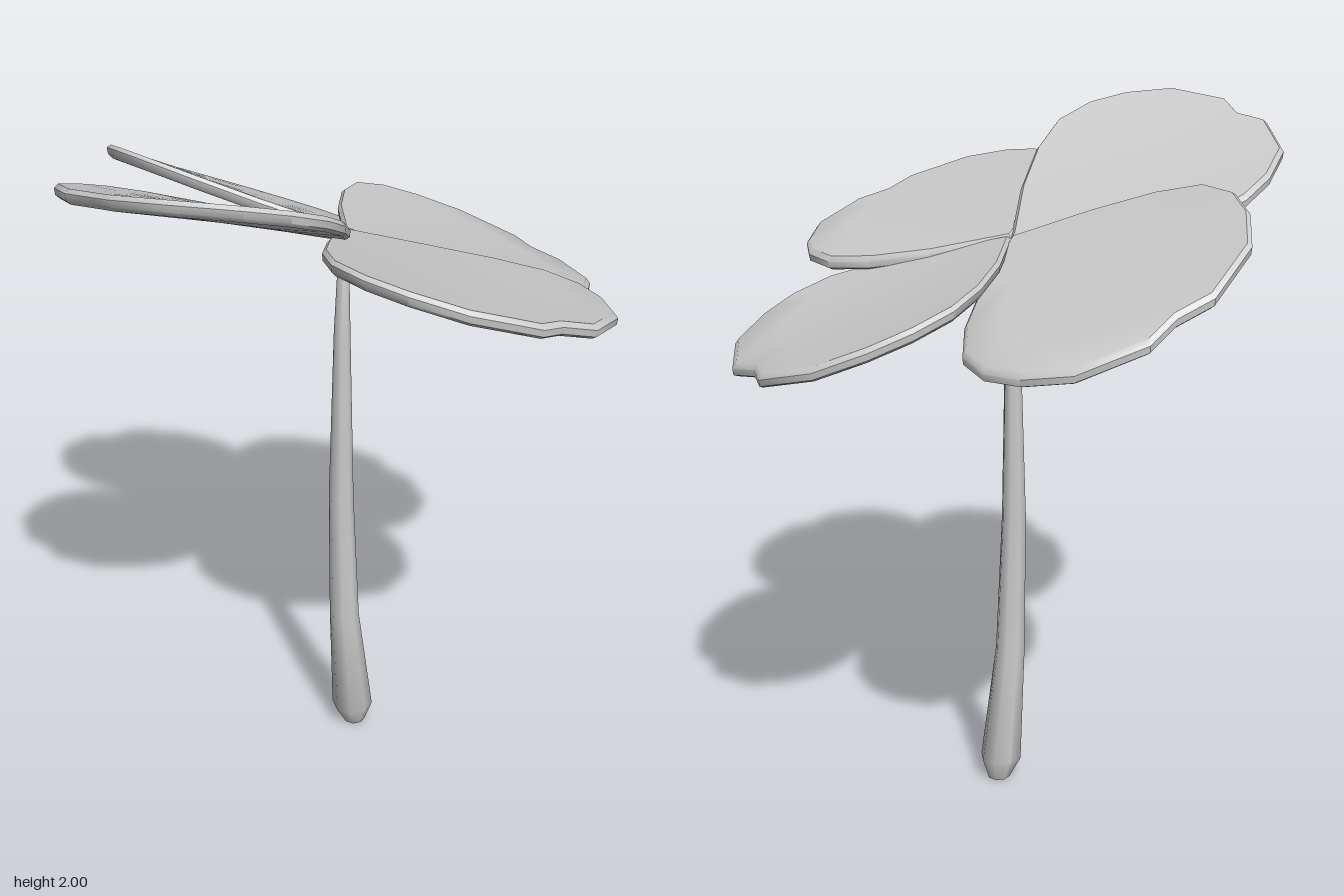
import * as THREE from 'three';
import { toCreasedNormals } from 'three/addons/utils/BufferGeometryUtils.js';

const material = new THREE.MeshStandardMaterial({ color: 0xcccccc });

// Half of the heart-shaped leaf outline: [distance from the stem, sideways]
const half = [[0.14, 0.17], [0.27, 0.29], [0.39, 0.36], [0.51, 0.367], [0.62, 0.33], [0.735, 0.25], [0.81, 0.09]];
const outline = [[0, 0], ...half, [0.785, 0], ...half.map(([u, v]) => [u, -v]).reverse()];

// Rings from the middle of the top, over the rim, to the middle of the underside: [scale, height]
const rings = [[0, 0.02], [0.35, 0.02], [0.7, 0.02], [0.97, 0.019], [1, 0.006], [0.995, -0.012], [0.965, -0.02], [0.5, -0.02], [0, -0.02]];

// rise, bend: slope and curve along the leaf; tilt: slope across it
function makeLeaf({ name, angle, length, width, rise, bend, tilt }) {
  const c = Math.cos(angle), s = Math.sin(angle);
  const n = outline.length, position = [], index = [];
  rings.forEach(([scale, height], r) => {
    outline.forEach(([pu, pv], i) => {
      const u = (0.42 + (pu - 0.42) * scale) * length;
      const v = pv * scale * width;
      const y = 1.66 + rise * u + bend * u * u + tilt * v + 0.12 * v * v + height;
      position.push(u * c - v * s, y, u * s + v * c);
      if (r === 0) return;
      const j = (i + 1) % n, a = (r - 1) * n, b = r * n;
      if (r < rings.length - 1) index.push(a + i, b + i, b + j);
      if (r > 1) index.push(a + i, b + j, a + j);
    });
  });
  const geometry = new THREE.BufferGeometry();
  geometry.setAttribute('position', new THREE.Float32BufferAttribute(position, 3));
  geometry.setIndex(index);
  const mesh = new THREE.Mesh(toCreasedNormals(geometry, 0.7), material);
  mesh.name = name;
  return mesh;
}

// Tapered stem whose rings follow a gentle sideways curve: [radius, y, x]
function makeStem() {
  const sections = [[0, 0, 0.043], [0.034, 0.004, 0.043], [0.062, 0.07, 0.035], [0.044, 0.43, 0.002], [0.036, 0.85, -0.01], [0.023, 1.37, -0.006], [0.014, 1.62, 0], [0, 1.66, 0]];
  const geometry = new THREE.LatheGeometry(sections.map(([r, y]) => new THREE.Vector2(r, y)), 8);
  const p = geometry.attributes.position;
  for (let i = 0; i < p.count; i++) p.setX(i, p.getX(i) + sections[i % sections.length][2]);
  const mesh = new THREE.Mesh(toCreasedNormals(geometry, 0.9), material);
  mesh.name = 'stem';
  return mesh;
}

export function createModel() {
  const group = new THREE.Group();
  group.name = 'clover';
  group.add(makeStem());
  const leaves = [
    { name: 'leftLeaf', angle: 0, length: 0.96, width: 1.07, rise: -0.32, bend: -0.03, tilt: -0.11 },
    { name: 'frontLeaf', angle: Math.PI / 2, length: 1, width: 1.04, rise: 0, bend: 0, tilt: 0.31 },
    { name: 'rightLeaf', angle: Math.PI, length: 0.96, width: 1.07, rise: 0.4, bend: -0.04, tilt: -0.2 },
    { name: 'backLeaf', angle: -Math.PI / 2, length: 1, width: 0.99, rise: -0.05, bend: 0, tilt: -0.5 },
  ];
  leaves.forEach((leaf) => group.add(makeLeaf(leaf)));
  return group;
}
